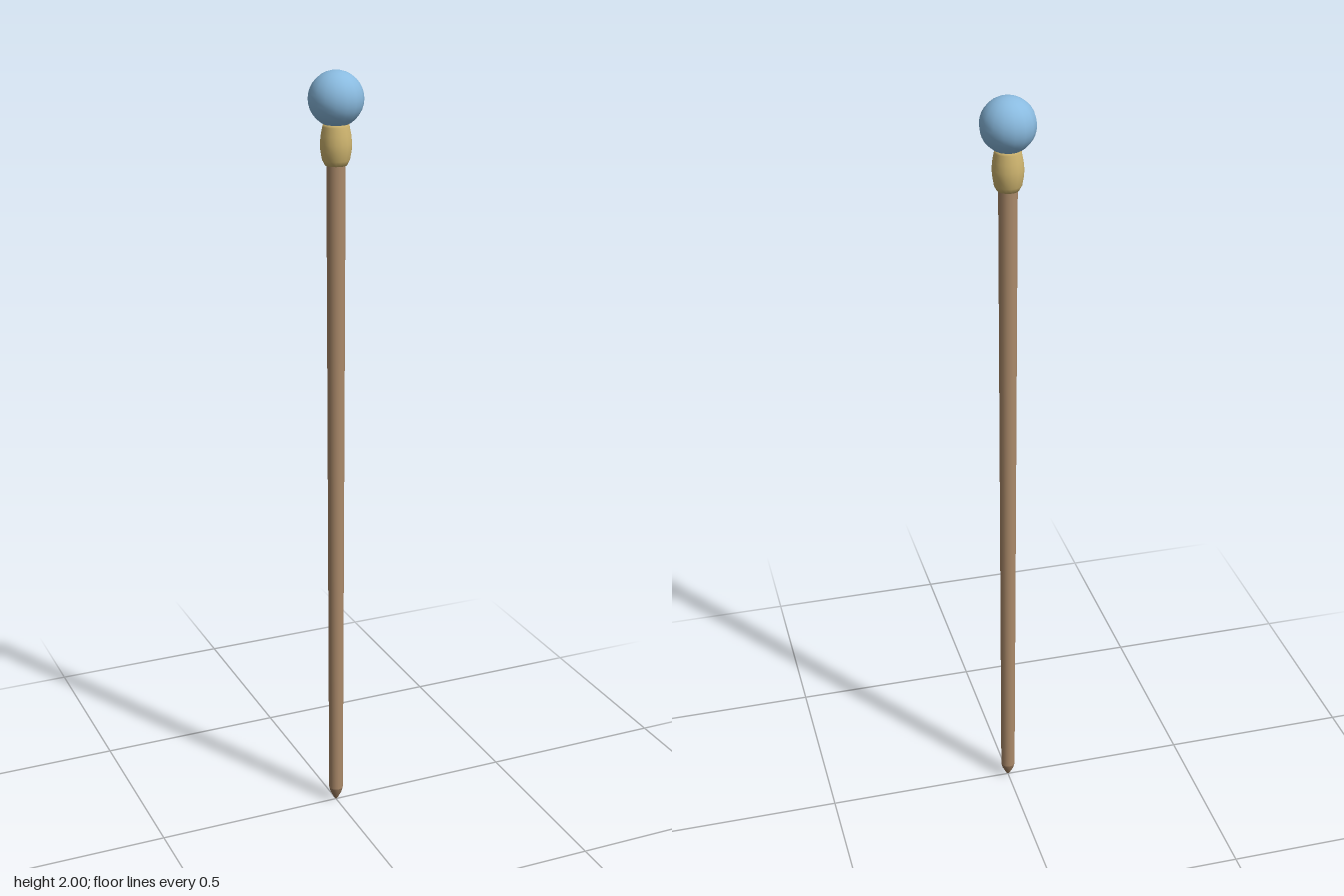
import * as THREE from 'three';

const material = (color) => new THREE.MeshStandardMaterial({ color });

// Turned part from [radius, height] pairs, listed bottom to top
function turned(name, profile, color) {
  const points = profile.map(([r, y]) => new THREE.Vector2(r, y));
  const mesh = new THREE.Mesh(new THREE.LatheGeometry(points, 16), material(color));
  mesh.name = name;
  return mesh;
}

export function createModel() {
  const model = new THREE.Group();
  model.name = 'staff';

  // Gently tapered wooden shaft
  model.add(turned('shaft', [[0.019, 0.045], [0.0235, 1.8]], 0xab8a6a));

  // Pointed foot
  model.add(turned('tip', [[0, 0.005], [0.006, 0.012], [0.016, 0.032], [0.019, 0.045]], 0x9a7b5e));

  // Bulging collar that carries the orb
  model.add(turned('collar', [
    [0, 1.772], [0.027, 1.772], [0.034, 1.785], [0.038, 1.808],
    [0.039, 1.825], [0.037, 1.845], [0.033, 1.866], [0.031, 1.874], [0, 1.874],
  ], 0xd0b670));

  // Orb
  const orb = new THREE.Mesh(new THREE.SphereGeometry(0.068, 16, 16), material(0x8abbe0));
  orb.name = 'orb';
  orb.position.y = 1.932;
  model.add(orb);

  return model;
}
